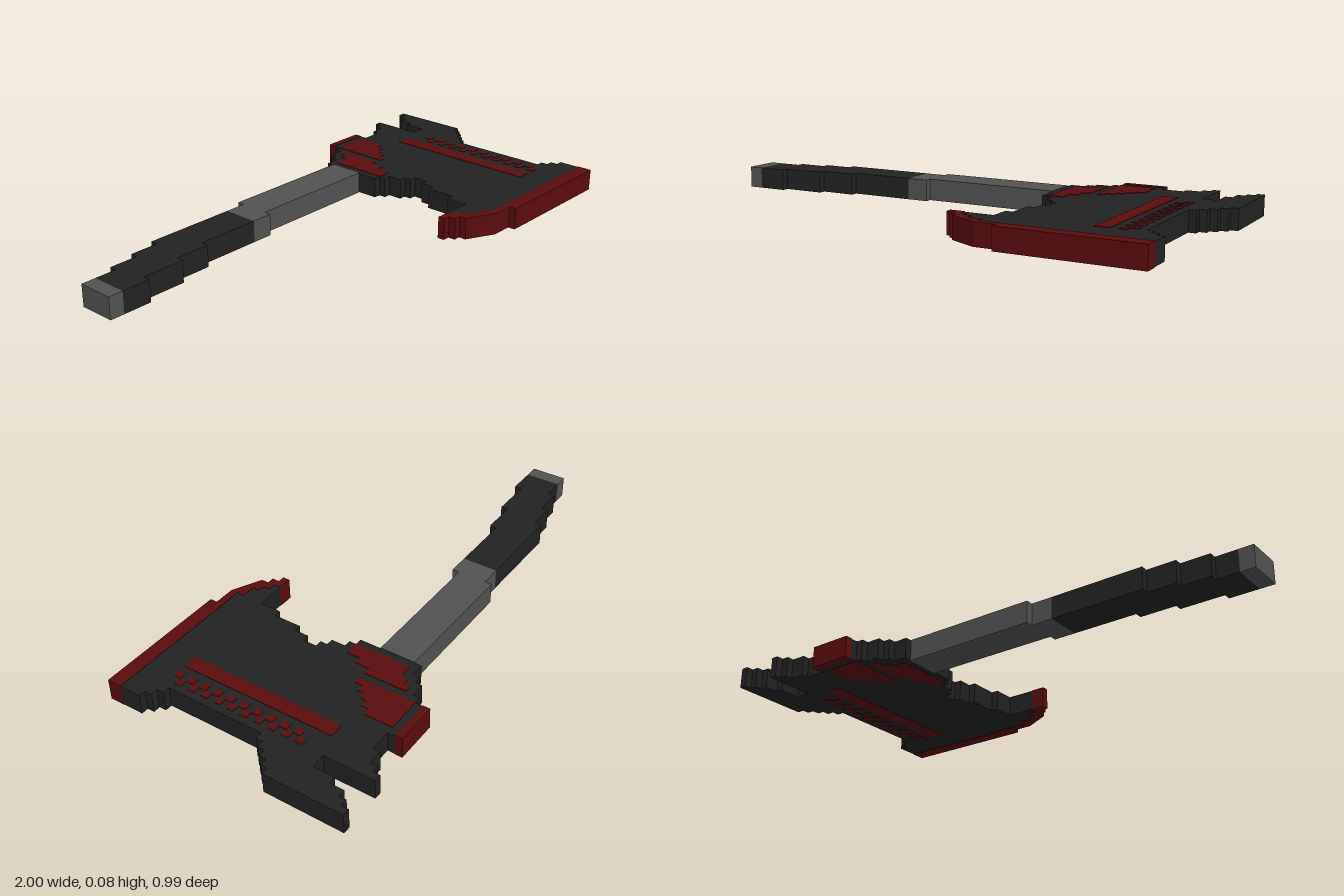
import * as THREE from 'three';

const U = 2 / 73;          // size of one grid cell
const COLS = 73, ROWS = 36;
const THICK = 3 * U;
const LIFT = 0.002;        // how far painted cells stand proud of the head

const mat = (name, color) => {
  const m = new THREE.MeshStandardMaterial({ color });
  m.name = name;
  return m;
};

export function createModel() {
  const axe = new THREE.Group();
  axe.name = 'axe';
  const dark = mat('charcoal', 0x222222);
  const grey = mat('steelGrey', 0x525252);
  const red = mat('darkRed', 0x5a0c0e);

  // Extrude a stepped outline given as [column, row] grid corners
  const slab = (name, pts, material, inset = 0) => {
    const shape = new THREE.Shape(
      pts.map(([c, r]) => new THREE.Vector2((c - COLS / 2) * U, (ROWS / 2 - r) * U)));
    const geo = new THREE.ExtrudeGeometry(shape, { depth: THICK - 2 * inset, bevelEnabled: false });
    geo.rotateX(-Math.PI / 2).translate(0, inset, 0);
    const mesh = new THREE.Mesh(geo, material);
    mesh.name = name;
    axe.add(mesh);
  };
  const rect = (c0, r0, c1, r1) => [[c0, r0], [c1, r0], [c1, r1], [c0, r1]];

  // Handle, from butt to head
  slab('handleButt', rect(0, 11, 2, 16), grey);
  slab('handleGrip', [
    [2, 11], [5, 11], [5, 10], [9, 10], [9, 9], [13, 9], [13, 8], [26, 8],
    [26, 13], [17, 13], [17, 14], [12, 14], [12, 15], [6, 15], [6, 16], [2, 16],
  ], dark);
  slab('handleShaft', [
    [26, 8], [29, 8], [29, 7], [48, 7], [48, 12], [29, 12], [29, 13], [26, 13],
  ], grey);

  // Head with its two back spikes
  slab('head', [
    [48, 6], [50, 6], [50, 5], [51, 5], [51, 4], [53, 4], [53, 3], [54, 3], [54, 2], [60, 2],
    [60, 3], [63, 3], [63, 2], [65, 2], [65, 1], [66, 1], [66, 0], [67, 0], [67, 7], [69, 7],
    [69, 4], [70, 4], [70, 2], [71, 2], [71, 1], [72, 1], [72, 0], [73, 0], [73, 11], [72, 11],
    [72, 12], [71, 12], [71, 13], [70, 13], [70, 14], [69, 14], [69, 15], [68, 15],
    [68, 29], [69, 29], [69, 30], [70, 30], [70, 31], [71, 31], [71, 34],
    [49, 34], [49, 33], [47, 33], [47, 32], [46, 32], [46, 31], [45, 31], [45, 30],
    [49, 30], [49, 27], [50, 27], [50, 23], [51, 23], [51, 21], [52, 21], [52, 19],
    [51, 19], [51, 18], [50, 18], [50, 16], [49, 16], [49, 15], [48, 15],
  ], dark, LIFT);

  // Cutting edge and back cap
  slab('cuttingEdge', [
    [43, 30], [45, 30], [45, 31], [46, 31], [46, 32], [47, 32], [47, 33], [49, 33], [49, 34],
    [71, 34], [71, 36], [52, 36], [52, 35], [49, 35], [49, 34], [47, 34], [47, 33],
    [45, 33], [45, 32], [44, 32], [44, 31], [43, 31],
  ].filter(([c, r], i) => !(i > 12 && ((c === 49 && r === 34) || (c === 47 && r === 33)))), red);
  slab('backCap', rect(54, 1, 60, 2), red);

  // Painted panels, visible on both faces
  slab('socketPanel', [
    [49, 7], [51, 7], [51, 6], [52, 6], [52, 5], [53, 5], [53, 11], [52, 11], [52, 13],
    [51, 13], [51, 15], [49, 15],
  ], red);
  slab('backPanel', [
    [54, 3], [59, 3], [59, 7], [58, 7], [58, 8], [57, 8], [57, 9], [56, 9], [56, 10],
    [55, 10], [55, 11], [54, 11],
  ].map(([c, r]) => [c, r]), red);
  slab('stripe', rect(62, 8, 64, 30), red);

  // Zigzag of alternating cells beside the stripe
  for (let r = 10; r < 30; r++) {
    const c = r % 2 ? 65 : 66;
    slab('zigzagCell', rect(c, r, c + 1, r + 1), red);
  }
  return axe;
}
